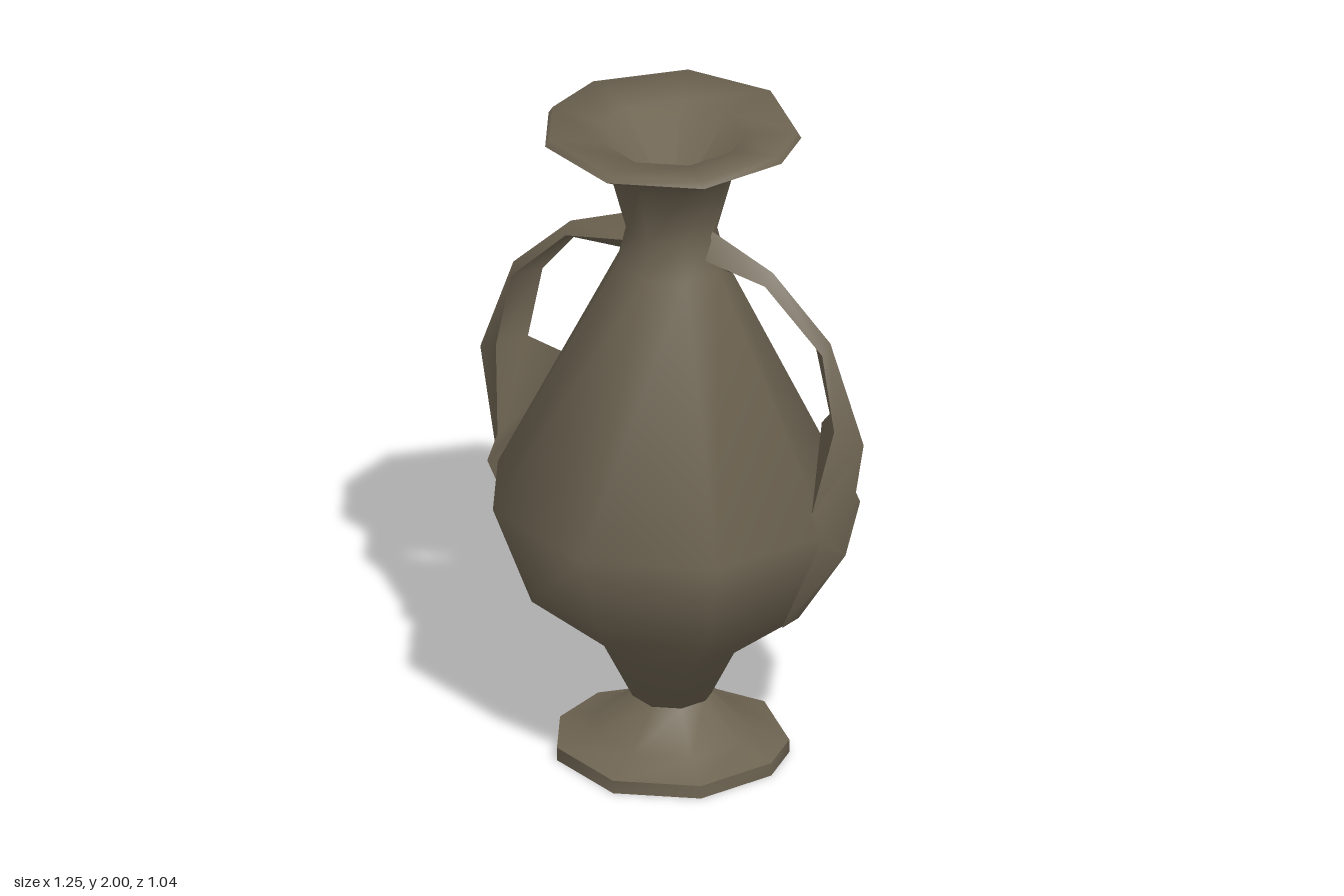
import * as THREE from 'three';
import { toCreasedNormals } from 'three/addons/utils/BufferGeometryUtils.js';

const clay = new THREE.MeshStandardMaterial({ color: 0x6e6452, side: THREE.DoubleSide });
clay.name = 'brown clay';

// Uneven nine-sided plan shared by all turned parts
const ANGLES = [14, 57, 101, 147, 181, 213, 259, 303, 347].map(THREE.MathUtils.degToRad);

// Skin a list of closed rings, creasing only sharp edges
function loft(name, rings, crease) {
  const positions = [];
  const n = rings[0].length;
  const same = (p, q) => p.distanceTo(q) < 1e-6;
  const tri = (p, q, r) => {
    if (same(p, q) || same(q, r) || same(r, p)) return;
    for (const v of [p, q, r]) positions.push(v.x, v.y, v.z);
  };
  for (let i = 0; i < rings.length - 1; i++) {
    for (let j = 0; j < n; j++) {
      const k = (j + 1) % n;
      const a = rings[i][j], b = rings[i][k], c = rings[i + 1][j], d = rings[i + 1][k];
      tri(a, c, b);
      tri(b, c, d);
    }
  }
  const geometry = new THREE.BufferGeometry();
  geometry.setAttribute('position', new THREE.Float32BufferAttribute(positions, 3));
  const mesh = new THREE.Mesh(toCreasedNormals(geometry, crease), clay);
  mesh.name = name;
  return mesh;
}

// Turned part from [radius, height] pairs
function turned(name, profile, crease) {
  return loft(name, profile.map(([r, y]) =>
    ANGLES.map(t => new THREE.Vector3(r * Math.cos(t), y, r * Math.sin(t)))), crease);
}

// Triangular handle sections: outer ridge, then the two inner edges.
// Each point is [distance from axis, height, sideways offset].
// The last three sections spread into a swelling on the belly.
const HANDLE = [
  [[0.10, 1.70, -0.01], [0.10, 1.54, -0.055], [0.11, 1.62, 0.04]],
  [[0.335, 1.61, 0], [0.32, 1.57, -0.03], [0.33, 1.58, 0.037]],
  [[0.525, 1.43, 0], [0.45, 1.41, -0.037], [0.515, 1.40, 0.03]],
  [[0.635, 1.13, 0], [0.50, 1.18, -0.04], [0.56, 1.17, 0.04]],
  [[0.575, 0.76, 0], [0.40, 1.07, -0.17], [0.52, 0.92, 0.10]],
  [[0.575, 0.76, 0], [0.51, 0.83, -0.20], [0.55, 0.83, 0.107]],
  [[0.42, 0.52, 0], [0.38, 0.52, -0.17], [0.41, 0.52, 0.08]],
];

function handle(name, degrees, side) {
  const t = THREE.MathUtils.degToRad(degrees);
  const rings = HANDLE.map(section => {
    const ring = section.map(([u, y, v]) => new THREE.Vector3(
      u * Math.cos(t) - side * v * Math.sin(t), y, u * Math.sin(t) + side * v * Math.cos(t)));
    return side < 0 ? ring.reverse() : ring;
  });
  return loft(name, rings, 0.9);
}

export function createModel() {
  const group = new THREE.Group();
  group.name = 'amphora';

  // Hollow flared foot
  group.add(turned('foot', [[0.34, 0], [0.34, 0.04], [0.23, 0.075], [0.115, 0.18]], 1.0));

  // Belly, neck and flared underside of the lip
  group.add(turned('body', [
    [0, 0.175], [0.113, 0.175], [0.2, 0.35], [0.415, 0.52], [0.53, 0.83],
    [0.16, 1.57], [0.132, 1.68], [0.185, 1.88], [0.375, 1.98],
  ], 1.35));

  // Shallow lip dropping into a pointed mouth
  group.add(turned('lip', [[0.375, 1.98], [0.362, 2.0], [0.21, 1.975], [0, 1.72]], 1.5));

  // Two handles mirrored across the body
  group.add(handle('leftHandle', 11, 1));
  group.add(handle('rightHandle', 191.5, -1));
  return group;
}
